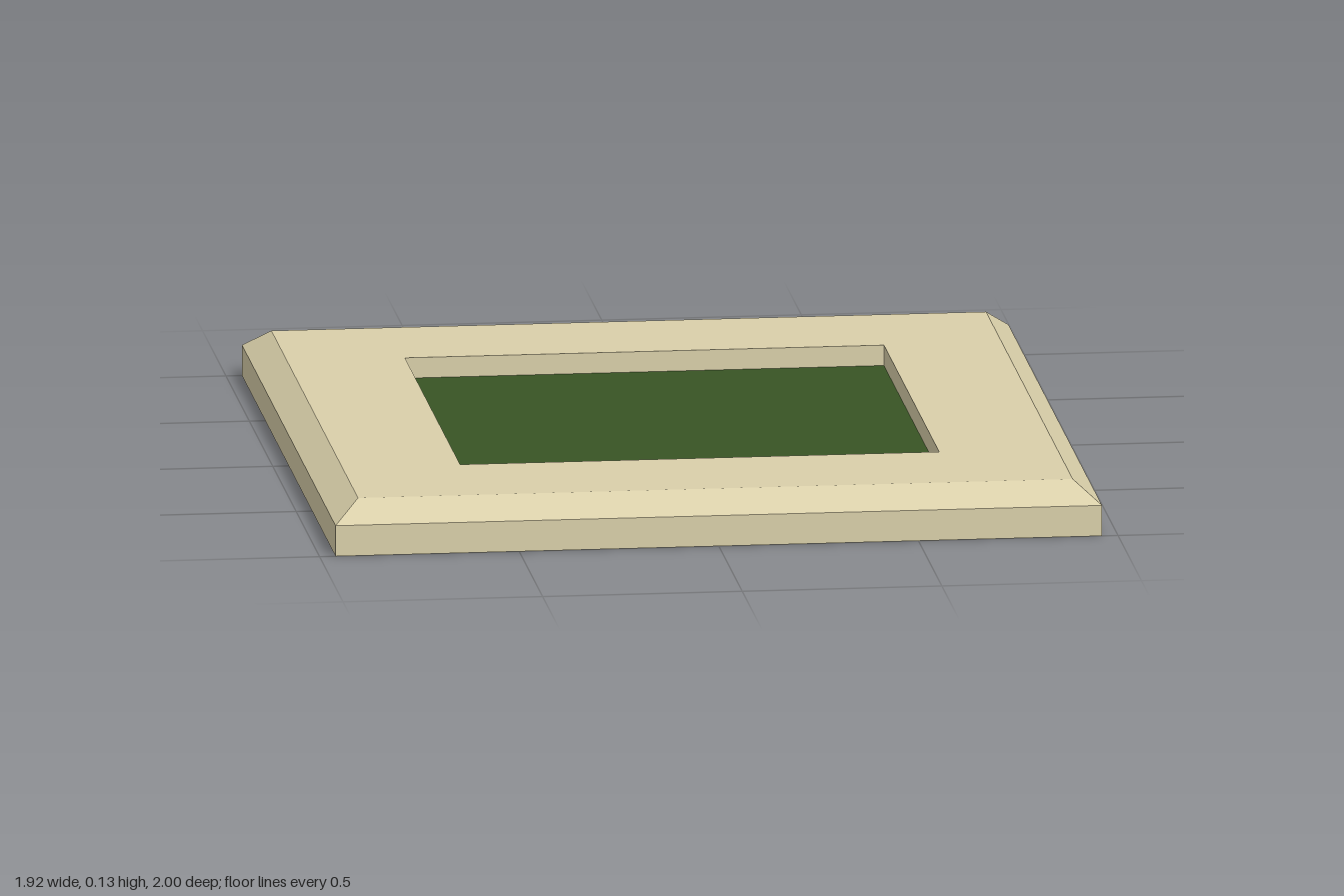
import * as THREE from 'three';

// Corners of a centred rectangle, counter-clockwise seen from above
const loop = (x, y, z) => [[-x, y, z], [x, y, z], [x, y, -z], [-x, y, -z]];

// Skin a list of rectangular loops with flat quads
function skinLoops(loops) {
  const positions = [];
  for (let i = 0; i < loops.length - 1; i++) {
    const lower = loops[i], upper = loops[i + 1];
    for (let k = 0; k < 4; k++) {
      const n = (k + 1) % 4;
      positions.push(...lower[k], ...lower[n], ...upper[n]);
      positions.push(...lower[k], ...upper[n], ...upper[k]);
    }
  }
  const geometry = new THREE.BufferGeometry();
  geometry.setAttribute('position', new THREE.Float32BufferAttribute(positions, 3));
  geometry.computeVertexNormals();
  return geometry;
}

export function createModel() {
  const stone = new THREE.MeshStandardMaterial({ color: 0xd9cfa9 });
  stone.name = 'sandstone';
  const grass = new THREE.MeshStandardMaterial({ color: 0x385424 });
  grass.name = 'grass green';

  const group = new THREE.Group();
  group.name = 'courtyardSlab';
  const add = (name, geometry, material) => {
    const mesh = new THREE.Mesh(geometry, material);
    mesh.name = name;
    group.add(mesh);
    return mesh;
  };

  // Outer wall, bevel, flat top and the walls of the recess
  add('bevelledFrame', skinLoops([
    loop(0.96, 0, 1),
    loop(0.96, 0.078, 1),
    loop(0.895, 0.13, 0.925),
    loop(0.6, 0.13, 0.59),
    loop(0.6, 0.078, 0.59),
  ]), stone);

  // Underside
  add('underside', new THREE.PlaneGeometry(1.92, 2).rotateX(Math.PI / 2), stone);

  // Sunken lawn
  const lawn = add('lawn', new THREE.PlaneGeometry(1.2, 1.18).rotateX(-Math.PI / 2), grass);
  lawn.position.y = 0.078;

  return group;
}
